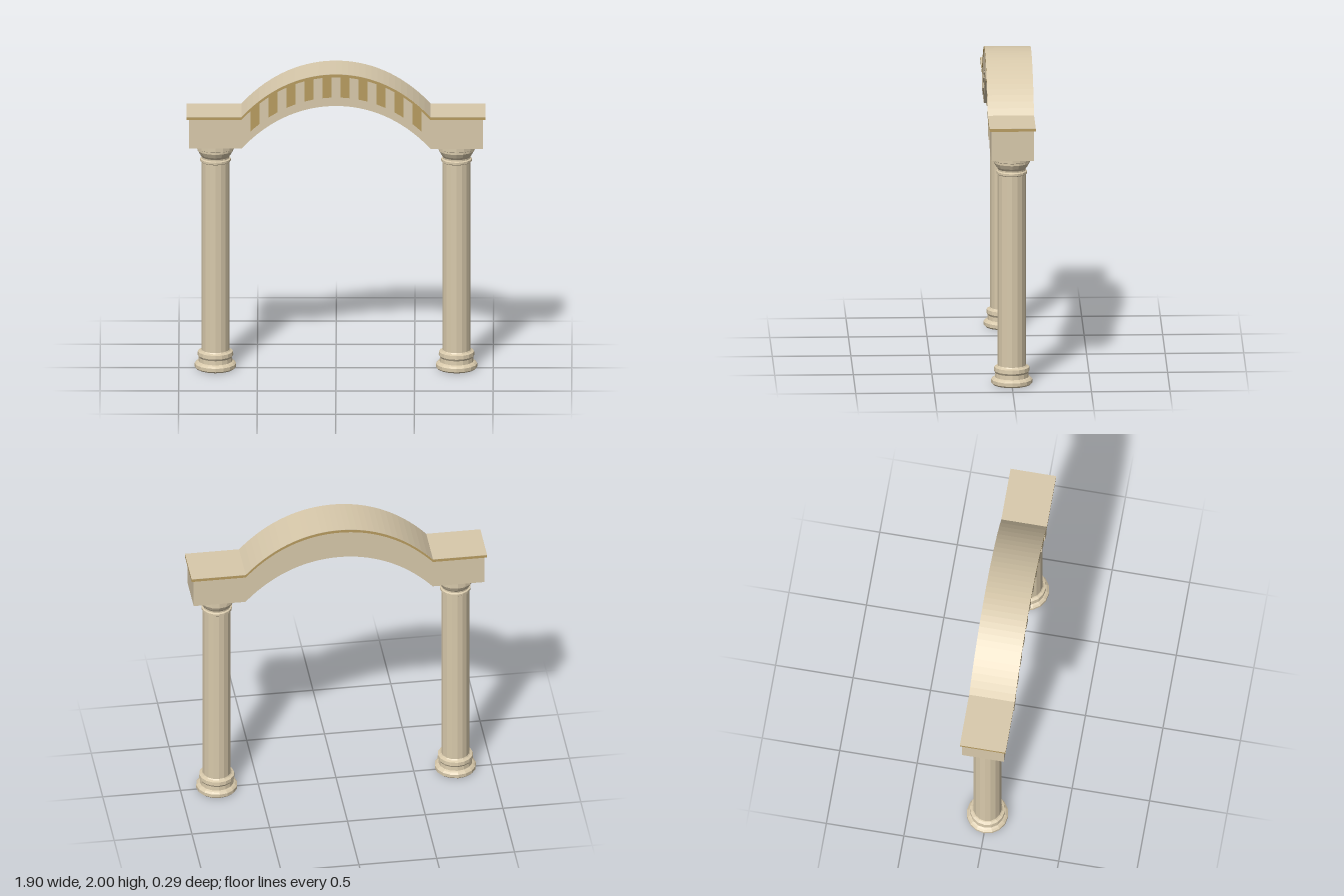
import * as THREE from 'three';

const stone = new THREE.MeshStandardMaterial({ color: 0xd8c9ab, side: THREE.DoubleSide, flatShading: true });
const gold = new THREE.MeshStandardMaterial({ color: 0xb89c60 });

const SPAN = 0.602, RISE = 0.285;

// Height of the arch curve above its springing line
const arc = x => {
  const u = (x / SPAN) ** 2;
  return RISE * (1 - 0.85 * u - 0.15 * u * u);
};

// Points along the arch curve from x0 to x1, raised to height y
const curve = (x0, x1, y, n) => Array.from({ length: n + 1 }, (_, i) => {
  const x = x0 + (x1 - x0) * i / n;
  return new THREE.Vector2(x, y + arc(x));
});

// Band between two parallel curves, with optional level ends reaching to +-end
function band(name, material, { x0 = -SPAN, x1 = SPAN, low, high, end = 0, z0, z1, n = 32 }) {
  const bottom = curve(x0, x1, low, n), top = curve(x0, x1, high, n).reverse();
  if (end) {
    bottom.unshift(new THREE.Vector2(-end, low));
    bottom.push(new THREE.Vector2(end, low));
    top.unshift(new THREE.Vector2(end, high));
    top.push(new THREE.Vector2(-end, high));
  }
  const geo = new THREE.ExtrudeGeometry(new THREE.Shape([...bottom, ...top]), { depth: z1 - z0, bevelEnabled: false });
  geo.translate(0, 0, z0);
  const mesh = new THREE.Mesh(geo, material);
  mesh.name = name;
  return mesh;
}

// Turned profile: moulded base, plain shaft, flared capital
const columnProfile = [
  [0.122, 0], [0.132, 0.01], [0.132, 0.032], [0.12, 0.042], [0.108, 0.048], [0.106, 0.075],
  [0.114, 0.088], [0.112, 0.112], [0.096, 0.118], [0.09, 0.125],
  [0.09, 1.375], [0.098, 1.381], [0.098, 1.395], [0.088, 1.4], [0.088, 1.41],
  [0.1, 1.425], [0.115, 1.452], [0.115, 1.465], [0.125, 1.47], [0.125, 1.5],
].map(([r, y]) => new THREE.Vector2(r, y));

export function createModel() {
  const model = new THREE.Group();
  model.name = 'columnArch';

  // Columns
  const columnGeo = new THREE.LatheGeometry(columnProfile, 16);
  for (const side of [-1, 1]) {
    const column = new THREE.Mesh(columnGeo, stone);
    column.name = side > 0 ? 'leftColumn' : 'rightColumn';
    column.position.x = side * 0.767;
    model.add(column);
  }

  // Arched beam with its end blocks, and the cornice over it
  model.add(
    band('archBeam', stone, { low: 1.5, high: 1.696, end: 0.935, z0: -0.135, z1: 0.135 }),
    band('corniceEdge', gold, { low: 1.695, high: 1.713, end: 0.95, z0: -0.147, z1: 0.147 }),
    band('corniceTop', stone, { low: 1.713, high: 1.715, end: 0.95, z0: -0.147, z1: 0.147 }),
  );

  // Front frieze: coloured panel with a row of raised blocks
  model.add(band('friezePanel', gold, { low: 1.557, high: 1.695, z0: 0.13, z1: 0.137 }));
  const blocks = new THREE.Group();
  blocks.name = 'friezeBlocks';
  for (let i = -5; i <= 5; i++) {
    const x = i * 0.1146;
    blocks.add(band('friezeBlock', stone, {
      x0: x - 0.0285, x1: x + 0.0285, low: 1.557, high: 1.695, z0: 0.13, z1: 0.144, n: 2,
    }));
  }
  model.add(blocks);
  return model;
}
